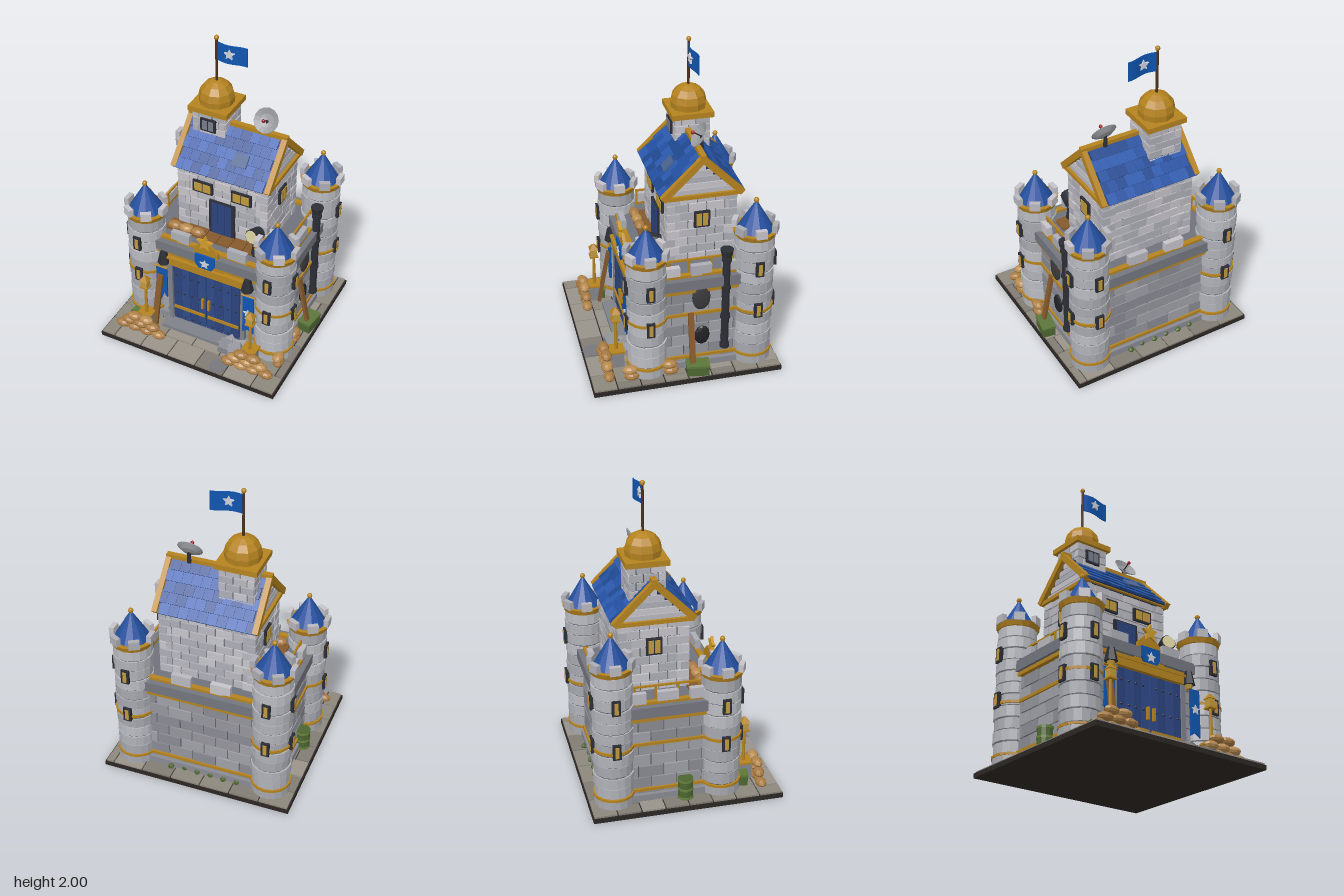
import * as THREE from 'three';
import { mergeGeometries } from 'three/addons/utils/BufferGeometryUtils.js';

const GOLD = 0xb5831f, BLUE = 0x2450a0, NAVY = 0x2b437c, FLAG = 0x0f55b0, DARK = 0x2c2e36, MORTAR = 0x55565e;
const WOOD = 0x85592c, BAG = 0xb08348, GREEN = 0x4d6630, LIT = 0xc09a3c, BASE = 0x2c2724;
const LOWER = [0x94959c, 0x9fa0a7, 0x8a8b93], UPPER = [0xb9b8c0, 0xc6c4ca, 0xadadb6];
const TOWER = [0xb0b2b8, 0xa6a8af, 0xbabcc2], PAVING = [0x8d877c, 0x99938a, 0x817c73], TILE = [0x2450a0, 0x2a59ad, 0x204890];
const { PI, sin, cos } = Math;

export function createModel() {
  const root = new THREE.Group(), bins = new Map();
  let seed = 7;
  const rnd = () => (seed = (seed * 16807) % 2147483647) / 2147483647;
  const pick = list => list[Math.floor(rnd() * list.length)];

  // Collects pieces by part name and colour; each bin becomes one mesh
  function add(name, color, geo, x = 0, y = 0, z = 0, rx = 0, ry = 0, rz = 0) {
    const g = geo.index ? geo.toNonIndexed() : geo;
    g.deleteAttribute('uv');
    g.applyMatrix4(new THREE.Matrix4().makeRotationFromEuler(new THREE.Euler(rx, ry, rz, 'YXZ')).setPosition(x, y, z));
    const key = name + color;
    if (!bins.has(key)) bins.set(key, { name, color, list: [] });
    bins.get(key).list.push(g);
  }
  const box = (w, h, d) => new THREE.BoxGeometry(w, h, d);
  const cyl = (a, b, h, n = 16) => new THREE.CylinderGeometry(a, b, h, n);
  const ball = (r, a = 8, b = 6) => new THREE.SphereGeometry(r, a, b);
  const slab = (pts, depth) => new THREE.ExtrudeGeometry(
    new THREE.Shape(pts.map(p => new THREE.Vector2(...p))), { depth, bevelEnabled: false });
  const star = (r, depth = 0.01) => slab(Array.from({ length: 10 }, (_, i) => {
    const a = PI / 2 + i * PI / 5, s = i % 2 ? r * 0.48 : r;
    return [s * cos(a), s * sin(a)];
  }), depth);
  // Point u sideways and d outward from a face turned by ry
  const at = (x, z, ry, u, d) => [x + u * cos(ry) + d * sin(ry), z - u * sin(ry) + d * cos(ry)];

  // Running-bond bricks over one wall face
  function bricks(name, colors, x, z, ry, width, y0, y1, rows, bw) {
    const h = (y1 - y0) / rows;
    for (let r = 0; r < rows; r++) {
      for (let u = -width / 2 - (r % 2) * bw / 2; u < width / 2 - 0.01; u += bw) {
        const a = Math.max(u, -width / 2), b = Math.min(u + bw, width / 2);
        if (b - a < 0.02) continue;
        const [px, pz] = at(x, z, ry, (a + b) / 2, 0);
        add(name, pick(colors), box(b - a - 0.007, h - 0.007, 0.022 + rnd() * 0.008), px, y0 + h * (r + 0.5), pz, 0, ry);
      }
    }
  }
  function windowAt(name, x, y, z, ry, w, h, panes = 1, color = LIT) {
    add(name + 'Frame', DARK, box(w, h, 0.025), x, y, z, 0, ry);
    const pw = (w - 0.02) / panes;
    for (let i = 0; i < panes; i++) {
      const [px, pz] = at(x, z, ry, (i - (panes - 1) / 2) * pw, 0.01);
      add(name + 'Pane', color, box(pw - 0.008, h - 0.025, 0.014), px, y, pz, 0, ry);
    }
  }

  // Base slab and paving
  add('base', BASE, box(1.26, 0.03, 1.21), 0, 0.015, -0.01);
  for (let r = 0; r < 8; r++) for (let c = -1; c < 7; c++) {
    const a = Math.max(-0.625, -0.63 + (c + (r % 2) / 2) * 0.2), b = Math.min(0.625, -0.63 + (c + 1 + (r % 2) / 2) * 0.2);
    if (b - a > 0.03) add('paving', pick(PAVING), box(b - a - 0.008, 0.014, 0.142), (a + b) / 2, 0.034, -0.538 + r * 0.151);
  }

  // Lower castle walls, trims, cornice and merlons
  add('wallCore', MORTAR, box(0.97, 0.64, 0.73), 0, 0.36, -0.115);
  const walls = [[0, 0.25, 0, 0.92], [0, -0.48, PI, 0.92], [0.485, -0.115, PI / 2, 0.7], [-0.485, -0.115, -PI / 2, 0.7]];
  walls.forEach(([x, z, ry, w], i) => {
    bricks('wallBrick', LOWER, x, z, ry, w, 0.04, 0.6, 7, 0.16);
    const strip = (name, color, y, h, d, out, len = w) => {
      const [px, pz] = at(x, z, ry, 0, out);
      add(name, color, box(len, h, d), px, y, pz, 0, ry);
    };
    strip('wallPlinth', LOWER[2], 0.06, 0.05, 0.05, 0.01);
    if (i) strip('wallTrim', GOLD, 0.115, 0.02, 0.04, 0.005);
    if (i > 1) strip('wallTrim', GOLD, 0.44, 0.02, 0.04, 0.005);
    strip('wallTrim', GOLD, 0.615, 0.025, 0.05, 0.008);
    strip('cornice', 0x74767f, 0.667, 0.07, 0.07, 0.01);
    strip('parapetCap', GOLD, 0.71, 0.018, 0.035, -0.01);
    for (const u of (i < 2 ? [-0.2, 0.2] : [-0.2, 0, 0.2])) {
      const [px, pz] = at(x, z, ry, i ? u * (i === 1 ? 0.65 : 1) : u, -0.01);
      add('merlon', pick(UPPER), box(0.13, 0.07, 0.035), px, 0.745, pz, 0, ry);
    }
    if (i > 1) {
      const rail = 0.42;
      strip('terraceRail', GOLD, 0.81, 0.012, 0.012, -0.03, rail);
      for (const u of [-0.2, -0.07, 0.07, 0.2]) {
        const [px, pz] = at(x, z, ry, u, -0.03);
        add('terraceRail', GOLD, box(0.012, 0.12, 0.012), px, 0.75, pz);
      }
    }
  });
  add('terraceFloor', 0x6f717c, box(0.94, 0.02, 0.7), 0, 0.69, -0.115);
  for (let i = 0; i < 8; i++) add('terracePlank', WOOD, box(0.088, 0.014, 0.11), -0.32 + i * 0.092, 0.705, 0.1);

  // Four corner towers
  for (const sx of [-1, 1]) for (const front of [true, false]) {
    const x = sx * 0.46, z = front ? 0.225 : -0.455, top = front ? 0.85 : 0.95, n = front ? 10 : 12, h = (top - 0.04) / n;
    add('towerCore', MORTAR, cyl(0.117, 0.117, top - 0.04), x, (top + 0.04) / 2, z);
    for (let i = 0; i < n; i++) {
      const r = (i % 2 ? 0.121 : 0.125) + rnd() * 0.004;
      add('towerCourse', pick(TOWER), cyl(r, r, h - 0.008), x, 0.04 + h * (i + 0.5), z, 0, rnd());
    }
    add('towerBand', GOLD, cyl(0.131, 0.131, 0.018), x, 0.44, z);
    add('towerBand', GOLD, cyl(0.131, 0.131, 0.016), x, 0.11, z);
    add('towerCrown', GOLD, cyl(0.14, 0.128, 0.035), x, top + 0.016, z);
    for (let i = 0; i < 6; i++) {
      const a = i * PI / 3;
      add('towerMerlon', pick(UPPER), box(0.068, 0.055, 0.032), x + 0.125 * sin(a + PI / 2), top + 0.055, z + 0.125 * cos(a + PI / 2), 0, a + PI / 2);
    }
    add('towerRoof', BLUE, cyl(0.008, 0.115, 0.185, 12), x, top + 0.122, z);
    add('towerFinial', GOLD, cyl(0.008, 0.016, 0.025, 6), x, top + 0.207, z);
    add('towerFinial', GOLD, ball(0.017), x, top + 0.226, z);
    for (const y of front ? [0.42, 0.68] : [0.46, 0.76]) {
      windowAt('towerWindow', x, y, z + (front ? 0.126 : -0.126), front ? 0 : PI, 0.052, 0.1);
      windowAt('towerWindow', x + sx * 0.126, y, z, sx * PI / 2, 0.052, 0.1);
    }
  }

  // Gate with steps, doors, lintel and emblem
  add('gateStep', 0x7f818a, box(0.54, 0.03, 0.1), -0.02, 0.05, 0.325);
  add('gateRecess', DARK, box(0.52, 0.52, 0.03), 0, 0.3, 0.26);
  for (const s of [-1, 1]) {
    for (let i = 0; i < 4; i++) add('gateDoor', i % 2 ? NAVY : 0x2f4a88, box(0.057, 0.46, 0.025), s * (0.032 + i * 0.06), 0.305, 0.275);
    for (const y of [0.18]) add('doorStrap', GOLD, box(0.225, 0.022, 0.01), s * 0.123, y, 0.291);
    for (const y of [0.1, 0.31, 0.46]) for (let i = 0; i < 4; i++) add('doorRivet', DARK, ball(0.008, 6, 4), s * (0.05 + i * 0.055), y, 0.288);
    add('doorHandle', GOLD, box(0.014, 0.08, 0.02), s * 0.022, 0.29, 0.297);
    add('gatePost', 0x7f818a, box(0.03, 0.5, 0.045), s * 0.263, 0.29, 0.27);
    add('wallLantern', DARK, cyl(0.022, 0.042, 0.09, 6), s * 0.3, 0.59, 0.3);
    add('wallLantern', LIT, cyl(0.028, 0.02, 0.03, 6), s * 0.3, 0.535, 0.3);
  }
  add('gateLintel', GOLD, box(0.52, 0.05, 0.06), 0, 0.565, 0.275);
  add('gateLintel', GOLD, box(0.56, 0.014, 0.07), 0, 0.595, 0.275);
  add('gatePediment', GOLD, slab([[-0.13, 0.59], [0.13, 0.59], [0.09, 0.68], [0.085, 0.74], [0.03, 0.79], [-0.03, 0.79], [-0.085, 0.74], [-0.09, 0.68]], 0.02), 0, 0, 0.27);
  add('emblemStar', 0xcf9c2c, star(0.058, 0.02), 0, 0.81, 0.285);
  add('emblemShield', FLAG, slab([[-0.07, 0.71], [0.07, 0.71], [0.07, 0.64], [0.045, 0.6], [0, 0.575], [-0.045, 0.6], [-0.07, 0.64]], 0.012), 0, 0, 0.292);
  add('shieldStar', 0xd0d2d8, star(0.036), 0, 0.645, 0.3);
  add('banner', FLAG, slab([[-0.04, 0.5], [0.04, 0.5], [0.035, 0.25], [0.01, 0.29], [-0.01, 0.22], [-0.04, 0.26]], 0.01), -0.315, 0, 0.3);
  add('banner', FLAG, slab([[-0.038, 0.51], [0.038, 0.51], [0.038, 0.21], [0, 0.235], [-0.038, 0.21]], 0.01), 0.32, 0, 0.32);
  add('bannerStar', 0xd0d2d8, star(0.033), 0.32, 0.38, 0.327);
  for (const s of [-1, 1]) add('bannerRod', GOLD, cyl(0.007, 0.007, 0.1, 6), s * 0.317, 0.51, 0.315, 0, 0, PI / 2);

  // Upper keep with quoins, door and windows
  const KZ = -0.16;
  add('keepCore', MORTAR, box(0.59, 0.48, 0.4), 0, 0.94, KZ);
  bricks('keepBrick', UPPER, 0, 0.04, 0, 0.58, 0.7, 1.17, 8, 0.115);
  bricks('keepBrick', UPPER, 0, -0.36, PI, 0.58, 0.7, 1.17, 8, 0.115);
  for (const s of [-1, 1]) {
    bricks('keepBrick', UPPER, s * 0.295, KZ, s * PI / 2, 0.4, 0.7, 1.17, 8, 0.115);
    for (const e of [-1, 1]) for (let i = 0; i < 8; i++) {
      const w = i % 2 ? 0.05 : 0.08, d = i % 2 ? 0.08 : 0.05;
      add('keepQuoin', pick(UPPER), box(w, 0.051, d), s * (0.315 - w / 2), 0.73 + i * 0.0585, KZ + e * (0.22 - d / 2));
    }
    windowAt('keepWindow', s * 0.135, 1.045, 0.055, 0, 0.14, 0.085, 2);
    windowAt('keepSideWindow', s * 0.31, 1.0, KZ, s * PI / 2, 0.1, 0.11, 2);
  }
  add('keepDoorFrame', DARK, box(0.18, 0.27, 0.03), 0, 0.83, 0.052);
  for (let i = -1; i < 2; i++) add('keepDoor', NAVY, box(0.045, 0.24, 0.02), i * 0.048, 0.835, 0.062);

  // Gabled roof: siding, staggered tiles, gold trim
  add('roofCore', 0x1b3263, slab([[-0.235, 1.16], [0.235, 1.16], [0, 1.395]], 0.6), -0.3, 0, KZ, 0, PI / 2);
  for (const s of [-1, 1]) {
    for (let i = 0; i < 5; i++) {
      const w = 0.4 - i * 0.09;
      add('gableSiding', UPPER[i % 3], box(0.025, 0.037, w), s * 0.3, 1.19 + i * 0.041, KZ);
    }
    add('gableBeam', GOLD, box(0.035, 0.025, 0.47), s * 0.315, 1.165, KZ);
    for (const e of [-1, 1]) add('bargeboard', GOLD, box(0.035, 0.04, 0.36), s * 0.323, 1.293, KZ + e * 0.122, e * PI / 4);
  }
  for (const e of [-1, 1]) {
    add('roofDeck', 0x1b3263, box(0.64, 0.015, 0.345), 0, 1.287, KZ + e * 0.122, e * PI / 4);
    for (let r = 0; r < 5; r++) for (let c = 0; c < 10; c++) {
      const t = 0.04 + r * 0.07, o = (r % 2) * 0.032 - 0.016, u = (t * Math.SQRT1_2);
      add('roofTile', pick(TILE), box(0.061, 0.013, 0.08), -0.279 + c * 0.062 + o, 1.424 - u, KZ + e * (u + 0.004), e * (PI / 4 - 0.09));
    }
    add('roofEave', GOLD, box(0.64, 0.014, 0.02), 0, 1.165, KZ + e * 0.235);
  }
  add('roofRidge', GOLD, box(0.68, 0.028, 0.035), 0, 1.428, KZ);
  add('roofPatch', 0x4a6390, box(0.1, 0.012, 0.085), 0.1, 1.292, 0.005, PI / 4, 0, 0.08);

  // Roof turret with dome and flag
  const TX = -0.163, TZ = -0.19;
  add('turretCore', MORTAR, box(0.2, 0.34, 0.2), TX, 1.34, TZ);
  for (let i = 0; i < 4; i++) bricks('turretBrick', UPPER, TX + 0.1 * sin(i * PI / 2), TZ + 0.1 * cos(i * PI / 2), i * PI / 2, 0.225, 1.2, 1.51, 6, 0.09);
  windowAt('turretWindow', TX, 1.425, TZ + 0.112, 0, 0.105, 0.09, 2, 0x777d8c);
  add('turretSlab', GOLD, box(0.268, 0.035, 0.268), TX, 1.525, TZ);
  const dome = [[0.112, 0], [0.115, 0.04], [0.104, 0.085], [0.075, 0.123], [0.035, 0.143], [0, 0.15]];
  add('dome', GOLD, new THREE.LatheGeometry(dome.map(p => new THREE.Vector2(...p)), 10), TX, 1.542, TZ);
  add('flagPole', 0x4a2f1c, cyl(0.008, 0.009, 0.31, 8), TX, 1.83, TZ);
  add('flagPoleBall', GOLD, ball(0.016), TX, 1.984, TZ);
  const flag = new THREE.BoxGeometry(0.195, 0.125, 0.006, 8, 1, 1), fp = flag.attributes.position;
  for (let i = 0; i < fp.count; i++) {
    const k = fp.getX(i) / 0.195 + 0.5;
    fp.setZ(i, fp.getZ(i) + 0.012 * sin(k * 5));
    fp.setY(i, fp.getY(i) - 0.008 * k);
  }
  add('flag', FLAG, flag, -0.057, 1.897, TZ);
  add('flagStar', 0xd0d2d8, star(0.036, 0.026), -0.07, 1.897, TZ - 0.004);

  // Satellite dish
  const dishProfile = [[0, -0.02], [0.045, -0.013], [0.082, 0.008], [0.08, 0.012], [0.044, -0.007], [0, -0.014]];
  add('dish', 0x9a9ca0, new THREE.LatheGeometry(dishProfile.map(p => new THREE.Vector2(...p)), 14), 0.185, 1.505, -0.175, 1.0);
  add('dishArm', DARK, cyl(0.004, 0.004, 0.07, 6), 0.185, 1.515, -0.155, 1.0);
  add('dishTip', 0xa02020, ball(0.012), 0.185, 1.528, -0.13);
  add('dishMount', DARK, cyl(0.01, 0.014, 0.08, 6), 0.185, 1.46, -0.185);

  // Searchlight on the terrace
  add('searchlight', DARK, cyl(0.05, 0.042, 0.08, 12), 0.27, 0.86, 0.13, PI / 2 - 0.15, -0.25);
  add('searchlightLens', 0xd8cf9e, cyl(0.043, 0.043, 0.01, 12), 0.26, 0.867, 0.17, PI / 2 - 0.15, -0.25);
  add('searchlightStand', DARK, cyl(0.012, 0.03, 0.12, 8), 0.27, 0.76, 0.13);

  // Sandbag stacks
  const bag = (x, y, z, ry = 0) => add('sandbag', pick([BAG, 0xa87a42, 0xba8d52]), ball(1, 8, 6).scale(0.053, 0.028, 0.036), x, y, z, 0, ry);
  for (const s of [-1, 1]) for (let r = 0; r < 3; r++) for (let i = 0; i < 4 - (r > 0) * 1 - (r > 1); i++)
    bag(s * 0.39 + (i - (3 - (r > 0) * 1 - (r > 1)) / 2) * 0.088, 0.066 + r * 0.047, 0.48, (rnd() - 0.5) * 0.3);
  for (const [x, z] of [[0.55, 0.09], [0.55, 0.34]]) { bag(x, 0.066, z, PI / 2); bag(x, 0.112, z + 0.01, PI / 2); }
  for (let i = 0; i < 3; i++) bag(-0.3 + i * 0.082, 0.735, 0.135);

  // Lamp posts
  for (const x of [-0.385, 0.375]) {
    add('lampPlinth', 0x85878d, box(0.085, 0.11, 0.085), x, 0.095, 0.405);
    add('lampPost', GOLD, box(0.1, 0.012, 0.1), x, 0.155, 0.405);
    add('lampPost', GOLD, cyl(0.009, 0.012, 0.24, 8), x, 0.27, 0.405);
    add('lampLight', LIT, box(0.044, 0.055, 0.044), x, 0.41, 0.405);
    add('lampCap', GOLD, cyl(0.008, 0.042, 0.035, 4), x, 0.455, 0.405, 0, PI / 4);
    add('lampCap', GOLD, box(0.056, 0.01, 0.056), x, 0.381, 0.405);
  }

  // Drainpipe and clutter around the walls
  add('drainPipe', DARK, cyl(0.025, 0.025, 0.7, 10), 0.515, 0.51, -0.265);
  for (const y of [0.18, 0.4, 0.62, 0.82]) add('drainPipe', DARK, cyl(0.032, 0.032, 0.025, 10), 0.515, y, -0.265);
  add('drainCap', DARK, cyl(0.042, 0.034, 0.04, 10), 0.515, 0.87, -0.265);
  add('wallShield', 0x3b3a3c, ball(1, 10, 8).scale(0.02, 0.09, 0.06), 0.51, 0.56, -0.11);
  add('scorchMark', 0x222226, new THREE.IcosahedronGeometry(1, 1).scale(0.02, 0.07, 0.05), 0.505, 0.27, -0.12);
  add('leaningPlank', WOOD, box(0.02, 0.42, 0.035), 0.55, 0.245, -0.045, 0, 0, 0.2);
  add('leaningPlank', WOOD, box(0.04, 0.4, 0.02), -0.33, 0.24, 0.35, -0.18, 0, -0.04);
  const crate = (x, z, ry) => {
    add('crate', GREEN, box(0.085, 0.07, 0.14), x, 0.076, z, 0, ry);
    add('crateLid', 0x5b763a, box(0.093, 0.014, 0.148), x, 0.11, z, 0, ry);
  };
  crate(0.58, -0.075, -0.15);
  crate(-0.43, 0.37, 1.4);
  add('barrel', GREEN, cyl(0.048, 0.048, 0.14, 12), -0.53, 0.11, -0.015);
  for (const y of [0.05, 0.11, 0.17]) add('barrelHoop', 0x66803f, cyl(0.052, 0.052, 0.014, 12), -0.53, y, -0.015);
  for (let i = 0; i < 6; i++) add('rubble', pick(LOWER), box(0.085, 0.05, 0.07), 0.19 + (i % 2) * 0.075, 0.06 + (i > 3) * 0.035, 0.33 + (i >> 1) * 0.035, rnd() * 0.3, rnd() * 2, rnd() * 0.3);
  for (let i = 0; i < 6; i++) add('weeds', GREEN, new THREE.IcosahedronGeometry(0.022, 0), -0.25 + i * 0.09, 0.05, -0.525 + rnd() * 0.02);
  add('puddle', 0x77777c, cyl(0.06, 0.06, 0.004, 9), 0.21, 0.044, 0.535);

  for (const { name, color, list } of bins.values()) {
    const mesh = new THREE.Mesh(mergeGeometries(list), new THREE.MeshStandardMaterial({ color, flatShading: true }));
    mesh.name = name;
    root.add(mesh);
  }
  return root;
}
